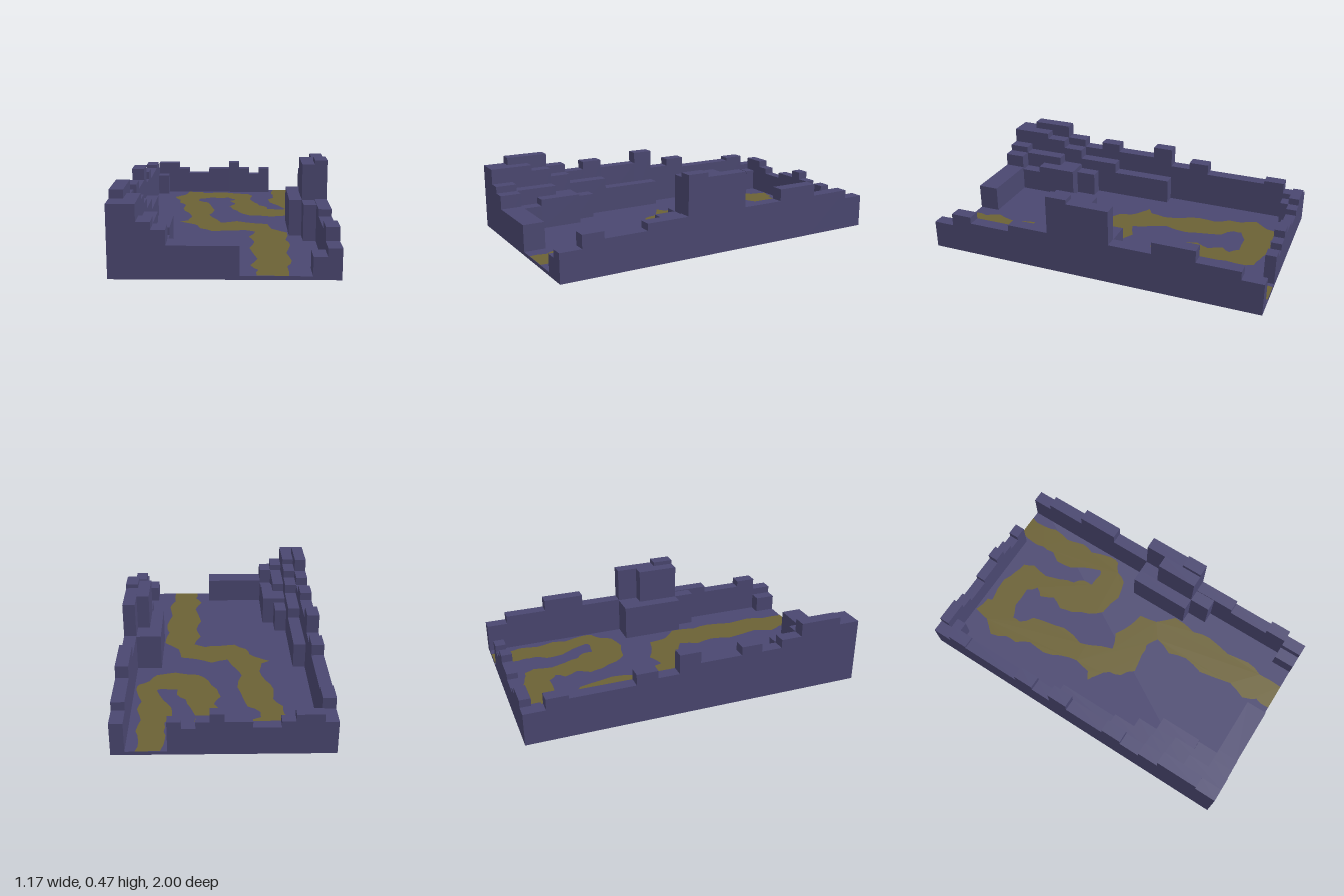
import * as THREE from 'three';

const stone = new THREE.MeshStandardMaterial({ color: 0x4a4770 });
stone.name = 'slate purple';
const dirt = new THREE.MeshStandardMaterial({ color: 0x6b6135 });
dirt.name = 'olive dirt';

const HALF = 0.585, CELL = HALF / 8, FLOOR = 0.02;

// Block filling columns c0..c1 (from -x) and depth z0..z1, up to height h
function block(group, c0, c1, z0, z1, h, name) {
  const w = (c1 - c0) * CELL, d = z1 - z0;
  const m = new THREE.Mesh(new THREE.BoxGeometry(w, h - FLOOR, d), stone);
  m.position.set(-HALF + c0 * CELL + w / 2, (h + FLOOR) / 2, (z0 + z1) / 2);
  m.name = name;
  group.add(m);
}

// Run of blocks along z: list of [zEnd, height]
function runZ(group, c0, c1, zStart, list, name) {
  let z = zStart;
  for (const [end, h] of list) {
    if (h) block(group, c0, c1, z, end, h, name);
    z = end;
  }
}

// Subdivide an edge given as x,z pairs (hundredths) and roughen it slightly
function roughEdge(flat) {
  const pts = [];
  let seed = 7;
  const rnd = () => ((seed = (seed * 16807) % 2147483647) / 2147483647 - 0.5) * 0.016;
  for (let i = 0; i < flat.length; i += 2) {
    const x = flat[i] / 100, z = flat[i + 1] / 100;
    pts.push(new THREE.Vector2(x, -z));
    if (i + 3 < flat.length) {
      pts.push(new THREE.Vector2((x + flat[i + 2] / 100) / 2 + rnd(), -(z + flat[i + 3] / 100) / 2 + rnd()));
    }
  }
  return pts;
}

export function createModel() {
  const model = new THREE.Group();
  model.name = 'canyonTile';

  // Floor slab
  const floor = new THREE.Mesh(new THREE.BoxGeometry(HALF * 2, FLOOR, 2), stone);
  floor.position.y = FLOOR / 2;
  floor.name = 'floor';
  model.add(floor);

  // Wall on the -x side with its inner steps
  const rightWall = new THREE.Group();
  rightWall.name = 'rightWall';
  runZ(rightWall, 0, 1, -1, [[-0.875, 0.19], [-0.75, 0.255], [-0.375, 0.235], [-0.25, 0.3], [-0.125, 0.255],
    [0, 0.37], [0.25, 0.3], [0.375, 0.35], [0.5, 0.3], [0.625, 0.35], [0.875, 0.43], [1, 0.385]], 'wallBlock');
  runZ(rightWall, 1, 2, -0.125, [[0.25, 0.175], [0.5, 0.24], [0.625, 0.3], [0.75, 0.35], [1, 0.385]], 'wallStep');
  runZ(rightWall, 2, 3, 0.375, [[0.5, 0.17], [0.625, 0.2], [0.875, 0.255], [1, 0.295]], 'wallStep');
  runZ(rightWall, 3, 4, 0.5, [[0.75, 0.2], [0.875, 0.16], [1, 0.255]], 'wallStep');
  block(rightWall, 1, 2, -0.9375, -0.875, 0.155, 'cornerPillar');
  model.add(rightWall);

  // Wall on the +x side with its tower
  const leftWall = new THREE.Group();
  leftWall.name = 'leftWall';
  runZ(leftWall, 15, 16, -1, [[-0.875, 0.19], [-0.625, 0.24], [-0.375, 0.31], [-0.125, 0.24], [0.125, 0.445],
    [0.25, 0.47], [0.5, 0.24], [0.75, 0.2], [0.875, 0.24], [1, 0.165]], 'wallBlock');
  runZ(leftWall, 14, 15, -0.125, [[0, 0.235], [0.25, 0.445], [0.375, 0.235], [0.875, 0], [1, 0.12]], 'towerStep');
  block(leftWall, 13, 14, -0.125, 0.25, 0.235, 'towerBase');
  model.add(leftWall);

  // Crenellated back wall
  const backWall = new THREE.Group();
  backWall.name = 'backWall';
  let c = 1;
  for (const [end, h] of [[3, 0.235], [4, 0.195], [6, 0.16], [8, 0.195], [9, 0.24], [10, 0.195], [11, 0.155], [12, 0.195]]) {
    block(backWall, c, end, -1, -0.9375, h, 'backBlock');
    c = end;
  }
  model.add(backWall);

  // Front wall
  block(model, 4, 9, 0.875, 1, 0.175, 'frontWall');

  // Winding path: outer edge front to back, then inner edge back to front
  const sideA = roughEdge([16, 100, 17, 91, 13, 83, 17, 72, 13, 52, 16, 40, 13, 29, 17, 18, 10, 14, 3, 15, -9, 17,
    -16, 11, -18, 4, -25, -2, -30, -5, -25, -8, -23, -18, -26, -29, -30, -39, -29, -50, -34, -58, -34, -66,
    -38, -75, -31, -83, -29, -93, -19, -91, -18, -88, -2, -90, 6, -87, 14, -85, 17, -79, 15, -68, 18, -59,
    21, -50, 26, -45, 26, -39, 35, -38, 38, -40, 34, -50, 29, -58, 28, -68, 32, -74, 32, -82, 31, -90, 33, -100]);
  const sideB = roughEdge([46, -100, 45, -90, 47, -82, 45, -71, 48, -60, 46, -52, 50, -39, 49, -33, 43, -29, 39, -22,
    28, -19, 14, -22, 8, -29, 3, -39, 1, -47, 5, -55, 1, -63, 5, -68, 0, -73, -13, -73, -21, -69, -21, -64,
    -14, -58, -12, -50, -9, -37, -12, -23, -9, -15, -4, -3, 6, -7, 16, -2, 25, 0, 27, 11, 36, 20, 34, 35,
    36, 46, 33, 61, 35, 75, 32, 85, 32, 100]);
  const path = new THREE.Mesh(new THREE.ShapeGeometry(new THREE.Shape([...sideA, ...sideB])), dirt);
  path.rotation.x = -Math.PI / 2;
  path.position.y = FLOOR + 0.002;
  path.name = 'path';
  model.add(path);

  return model;
}
